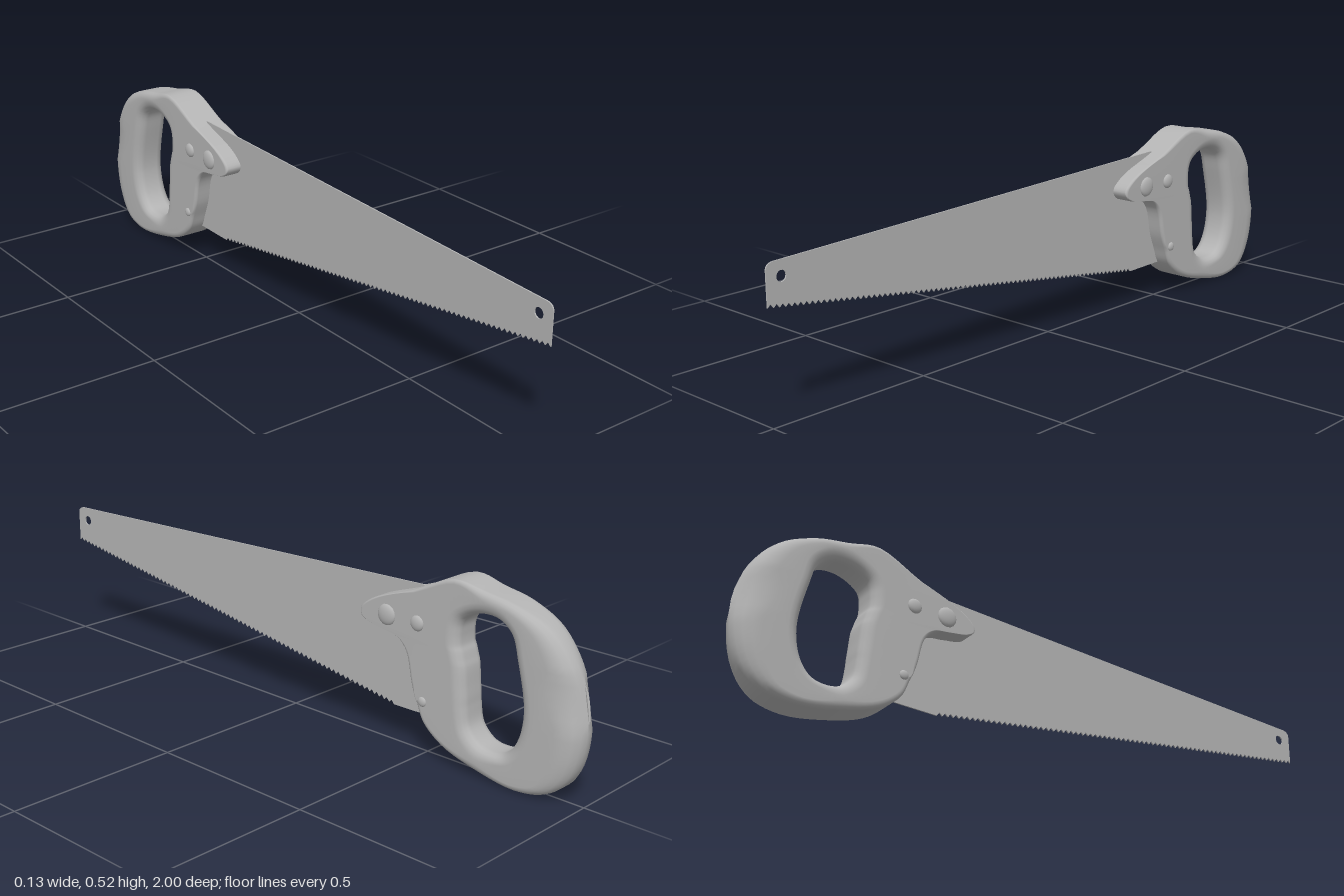
import * as THREE from 'three';

const steel = new THREE.MeshStandardMaterial({ color: 0xb4b4b4 });
steel.name = 'plain grey';

const HALF = 0.053; // half thickness of the handle

// Each row: outer z, outer y, grip hole z, grip hole y, edge rounding inward, edge rounding across
const SECTIONS = [
  [-.292, .380, -.620, .360, .010, .008], [-.330, .415, -.620, .380, .010, .008],
  [-.470, .468, -.623, .405, .010, .008], [-.607, .527, -.635, .425, .012, .008],
  [-.700, .513, -.685, .448, .020, .018], [-.795, .495, -.740, .447, .025, .024],
  [-.900, .447, -.780, .420, .050, .040], [-.972, .350, -.800, .360, .070, .048],
  [-1.00, .206, -.827, .220, .070, .048], [-.972, .083, -.810, .135, .060, .042],
  [-.913, .024, -.775, .094, .038, .028], [-.820, .005, -.735, .086, .025, .018],
  [-.690, .024, -.695, .095, .022, .015], [-.580, .060, -.660, .130, .018, .012],
  [-.517, .110, -.650, .180, .015, .010], [-.495, .160, -.648, .210, .012, .010],
  [-.475, .210, -.645, .240, .012, .010], [-.453, .297, -.640, .290, .012, .010],
  [-.420, .330, -.634, .310, .012, .010], [-.367, .340, -.628, .330, .012, .010],
  [-.305, .355, -.622, .345, .010, .008],
];

// Closed ring of rounded sections running from the outer edge to the grip hole
function handleGeometry() {
  const curve = (a, b) => new THREE.CatmullRomCurve3(
    SECTIONS.map((s) => new THREE.Vector3(0, s[b], s[a])), true, 'centripetal');
  const outer = curve(0, 1), inner = curve(2, 3), rounding = curve(4, 5);
  const rings = SECTIONS.length * 5, steps = 5;
  const positions = [], index = [];
  for (let i = 0; i < rings; i++) {
    const t = i / rings;
    const o = outer.getPoint(t), n = inner.getPoint(t), r = rounding.getPoint(t);
    const width = o.distanceTo(n);
    const corners = [[-1, 0, 0], [1, 0, 1], [1, 1, 0], [-1, 1, 1]]; // side, at hole, reversed
    for (const [side, atHole, reversed] of corners) {
      const depth = atHole ? 0.035 : r.z;
      const across = atHole ? 0.03 : r.y;
      for (let k = 0; k < steps; k++) {
        const f = k / (steps - 1);
        const a = (reversed ? 1 - f : f) * Math.PI / 2;
        const d = depth * (1 - Math.sin(a));
        const p = o.clone().lerp(n, (atHole ? width - d : d) / width);
        positions.push(side * (HALF - across * (1 - Math.cos(a))), p.y, p.z);
      }
    }
  }
  const m = steps * 4;
  for (let i = 0; i < rings; i++) {
    for (let j = 0; j < m; j++) {
      const i2 = (i + 1) % rings, j2 = (j + 1) % m;
      const a = i * m + j, b = i * m + j2, c = i2 * m + j2, d = i2 * m + j;
      index.push(a, b, c, a, c, d);
    }
  }
  const g = new THREE.BufferGeometry();
  g.setAttribute('position', new THREE.Float32BufferAttribute(positions, 3));
  g.setIndex(index);
  g.computeVertexNormals();
  return g;
}

// Tapered thin plate with a toothed lower edge and a hanging hole
function bladeGeometry() {
  const s = new THREE.Shape();
  s.moveTo(-.56, .44);
  s.lineTo(-.52, .11);
  s.lineTo(-.378, .108);
  const teeth = 76, span = 1.378 / teeth;
  for (let i = 0; i < teeth; i++) {
    const z = -.378 + i * span;
    const y = (q) => .108 + .205 * (q + .378) / 1.378;
    s.lineTo(z + span * 0.5, y(z + span * 0.5) + .010);
    s.lineTo(z + span, y(z + span));
  }
  s.lineTo(1, .405);
  s.quadraticCurveTo(1, .425, .975, .426);
  s.lineTo(-.47, .473);
  const hole = new THREE.Path();
  hole.absarc(.955, .385, .015, 0, Math.PI * 2, true);
  s.holes.push(hole);
  const g = new THREE.ExtrudeGeometry(s, { depth: .004, bevelEnabled: false, curveSegments: 10 });
  g.translate(0, 0, -.002);
  g.rotateY(-Math.PI / 2); // lay the profile along z
  return g;
}

export function createModel() {
  const model = new THREE.Group();
  model.name = 'handSaw';
  const add = (geometry, name) => {
    const mesh = new THREE.Mesh(geometry, steel);
    mesh.name = name;
    model.add(mesh);
    return mesh;
  };

  add(handleGeometry(), 'handle');
  add(bladeGeometry(), 'blade');

  // Domed screw heads on both cheeks: z, y, radius, height
  const screws = [[-.388, .383, .030, .011], [-.493, .383, .022, .010], [-.517, .169, .014, .007]];
  for (const [z, y, radius, height] of screws) {
    for (const side of [-1, 1]) {
      const dome = new THREE.SphereGeometry(1, 16, 6, 0, Math.PI * 2, 0, Math.PI / 2);
      dome.scale(radius, height, radius);
      dome.rotateZ(-side * Math.PI / 2);
      add(dome, side > 0 ? 'leftScrew' : 'rightScrew').position.set(side * (HALF - .0005), y, z);
    }
  }
  return model;
}
